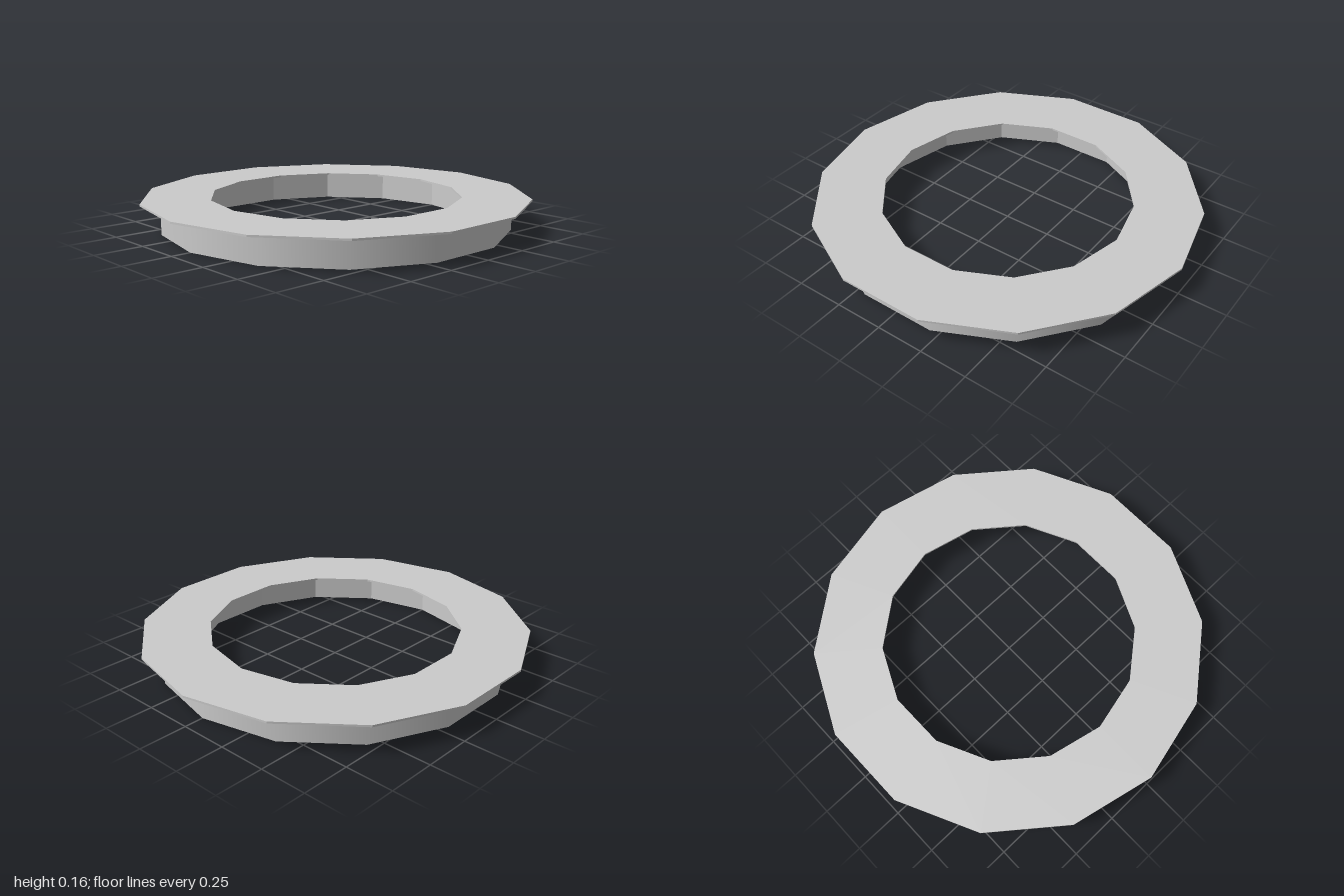
import * as THREE from 'three';

const SIDES = 14;
const smoothGrey = new THREE.MeshStandardMaterial({ color: 0xcccccc });
const flatGrey = new THREE.MeshStandardMaterial({ color: 0xcccccc, flatShading: true });

// Turns a profile of [radius, height] points, with a corner of the ring on +x
function turned(name, profile, material) {
  const points = profile.map(([r, y]) => new THREE.Vector2(r, y));
  const geometry = new THREE.LatheGeometry(points, SIDES, Math.PI / 2);
  const mesh = new THREE.Mesh(geometry, material);
  mesh.name = name;
  return mesh;
}

// Ring with a square section: outer wall separate so it can be shaded smooth
function ring(name, inner, outer, bottom, top, outerMaterial) {
  const group = new THREE.Group();
  group.name = name;
  group.add(
    turned(name + 'OuterWall', [[outer, bottom], [outer, top]], outerMaterial),
    turned(name + 'Body', [[outer, top], [inner, top], [inner, bottom], [outer, bottom]], flatGrey)
  );
  return group;
}

export function createModel() {
  const model = new THREE.Group();
  model.name = 'flangedRing';
  // Thin wide plate on top of a narrower collar
  model.add(
    ring('flange', 0.65, 1, 0.15, 0.16, flatGrey),
    ring('collar', 0.75, 0.9, 0, 0.15, smoothGrey)
  );
  return model;
}
